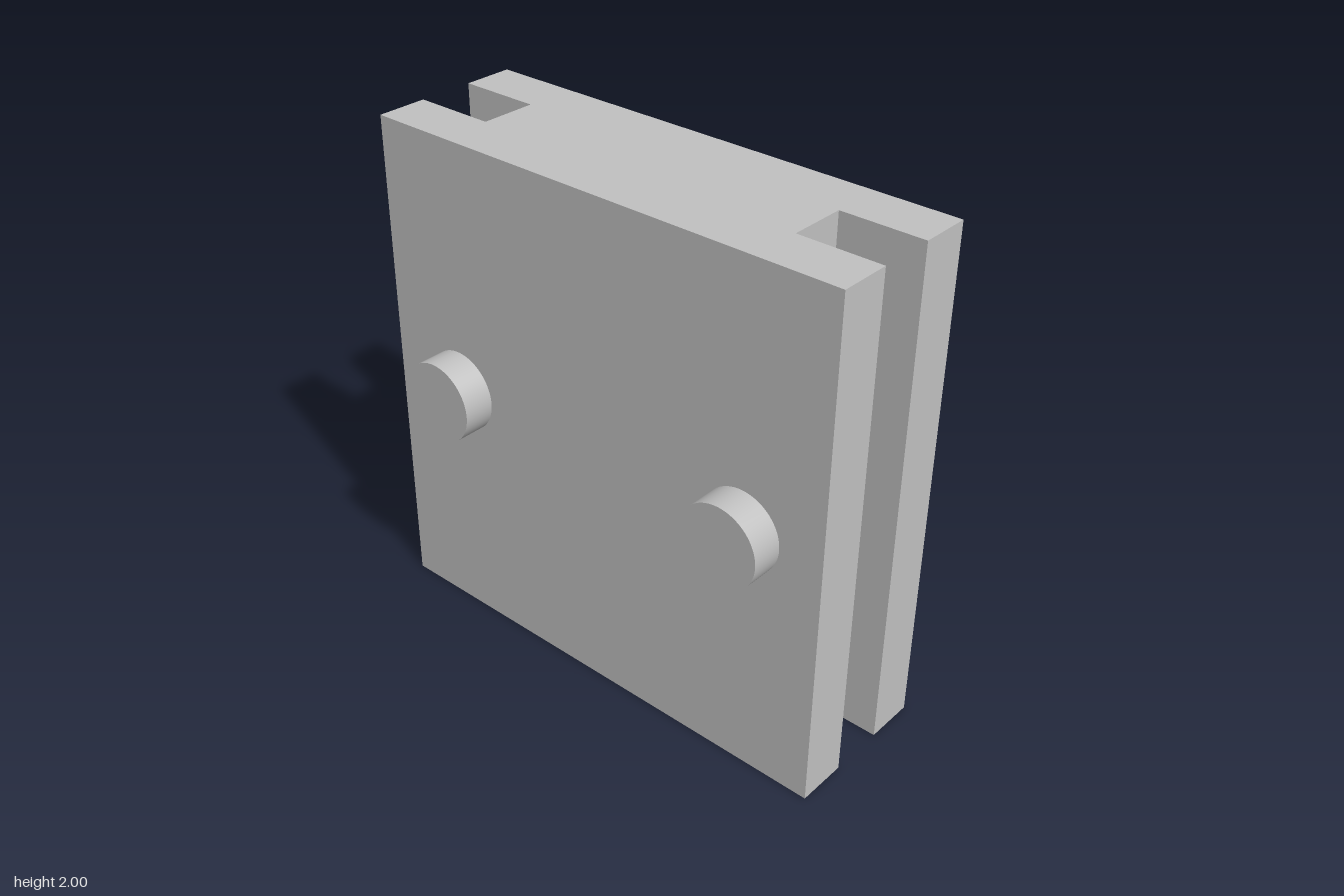
import * as THREE from 'three';

export function createModel() {
  const model = new THREE.Group();
  model.name = 'slottedBlock';

  const grey = new THREE.MeshStandardMaterial({ color: 0xc0c0c0 });
  grey.name = 'light grey';

  const back = -0.373, front = 0.248;          // block faces in z
  const slotBack = -0.175, slotFront = 0.047;  // side slots in z
  const slotX = 0.675, pegX = 0.667;

  // Plan outline of the block, right half then mirrored left half
  const half = [
    [1, front], [1, slotFront], [slotX, slotFront],
    [slotX, slotBack], [1, slotBack], [1, back],
  ];
  const outline = [...half, ...half.map(([x, z]) => [-x, z]).reverse()];
  const plan = new THREE.Shape(outline.map(([x, z]) => new THREE.Vector2(x, -z)));

  // Block with a full-height slot along each side
  const blockGeometry = new THREE.ExtrudeGeometry(plan, { depth: 2, bevelEnabled: false });
  blockGeometry.rotateX(-Math.PI / 2);
  const block = new THREE.Mesh(blockGeometry, grey);
  block.name = 'block';
  model.add(block);

  // Two round pegs on the front face
  const pegLength = 0.125;
  const pegGeometry = new THREE.CylinderGeometry(0.16, 0.16, pegLength, 64);
  pegGeometry.rotateX(Math.PI / 2);
  for (const side of [1, -1]) {
    const peg = new THREE.Mesh(pegGeometry, grey);
    peg.name = side > 0 ? 'leftPeg' : 'rightPeg';
    peg.position.set(side * pegX, 1, front + pegLength / 2);
    model.add(peg);
  }

  return model;
}
